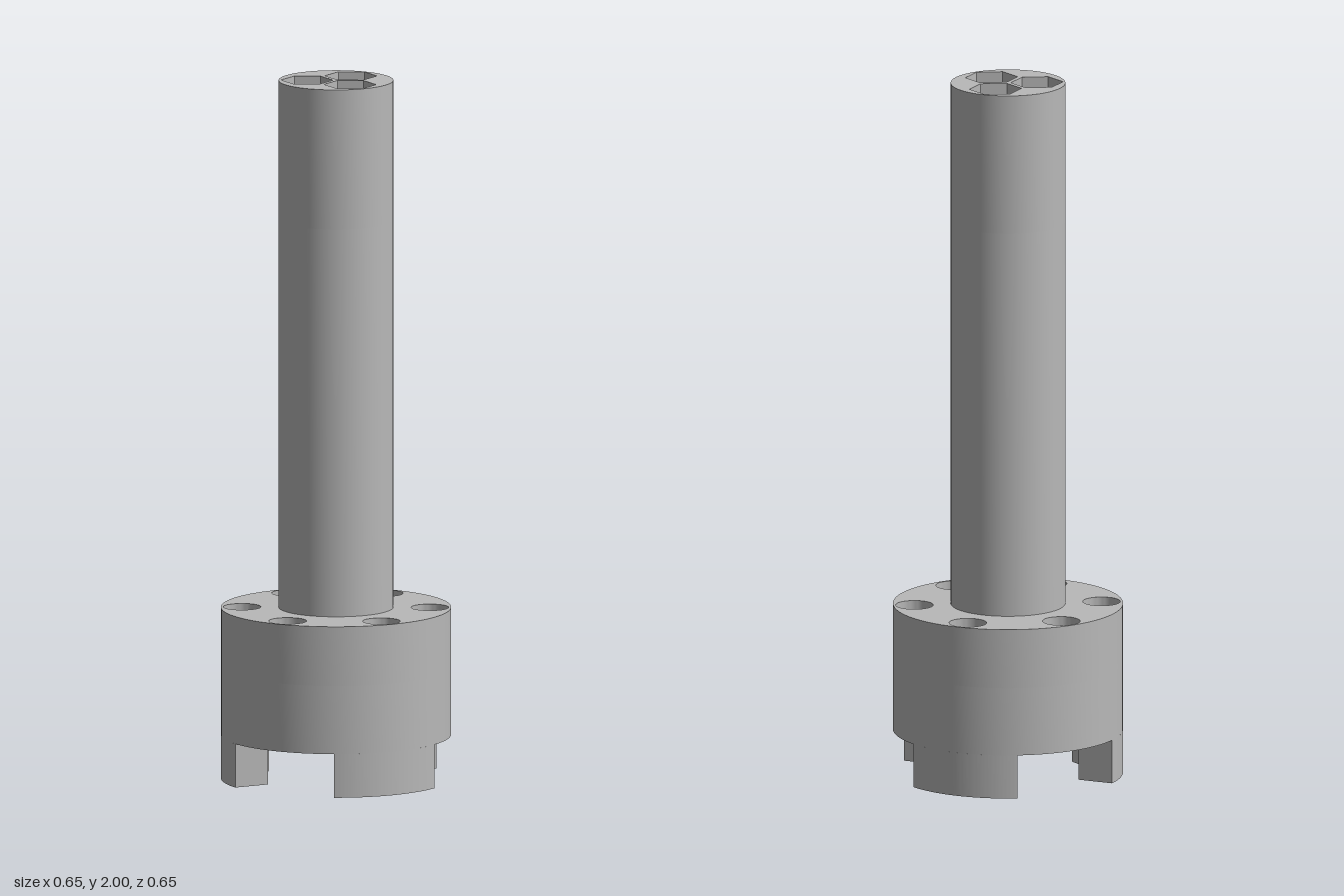
import * as THREE from 'three';
import { toCreasedNormals } from 'three/addons/utils/BufferGeometryUtils.js';

const FLANGE_R = 0.325, COLUMN_R = 0.162, LEG_INNER_R = 0.22;
const BOLT_CIRCLE = 0.265, BORE_CIRCLE = 0.082;

// Closed outline with a given number of sides (many sides reads as a circle)
function polygon(radius, cx = 0, cy = 0, sides = 48, Type = THREE.Path) {
  const path = new Type();
  const points = [];
  for (let i = 0; i < sides; i++) {
    const a = (i / sides) * Math.PI * 2;
    points.push(new THREE.Vector2(cx + radius * Math.cos(a), cy + radius * Math.sin(a)));
  }
  path.setFromPoints(points);
  path.closePath();
  return path;
}

const disc = (radius) => polygon(radius, 0, 0, 96, THREE.Shape);

// A ring of equal holes around the axis
function holeRing(count, ringRadius, radius, startAngle, sides = 48) {
  return Array.from({ length: count }, (_, i) => {
    const a = startAngle + (i / count) * Math.PI * 2;
    return polygon(radius, ringRadius * Math.cos(a), ringRadius * Math.sin(a), sides);
  });
}

// Upright slab between two heights
function slab(shape, holes, y0, y1) {
  shape.holes.push(...holes);
  const geometry = new THREE.ExtrudeGeometry(shape, {
    depth: y1 - y0, bevelEnabled: false, curveSegments: 32,
  });
  geometry.rotateX(-Math.PI / 2);
  geometry.translate(0, y0, 0);
  return toCreasedNormals(geometry, 0.5);
}

export function createModel() {
  const group = new THREE.Group();
  const grey = new THREE.MeshStandardMaterial({ color: 0xb8b8b8 });
  grey.name = 'grey';

  const add = (name, geometry) => {
    const mesh = new THREE.Mesh(geometry, grey);
    mesh.name = name;
    group.add(mesh);
  };
  const bores = (radius, sides) => holeRing(3, BORE_CIRCLE, radius, Math.PI / 3, sides);
  const boltHoles = (radius) => holeRing(6, BOLT_CIRCLE, radius, 0);

  // Column: round bores that open into hexagonal sockets at the top
  add('columnTop', slab(disc(COLUMN_R), bores(0.074, 6), 1.6, 2));
  add('column', slab(disc(COLUMN_R), bores(0.044), 0.49, 1.6));

  // Flange: counterbored bolt holes above, wider bores below
  add('flangeTop', slab(disc(FLANGE_R), [...boltHoles(0.053), ...bores(0.044)], 0.32, 0.49));
  add('flangeBottom', slab(disc(FLANGE_R), [...boltHoles(0.027), ...bores(0.07)], 0.125, 0.32));

  // Three drilled ring-sector legs
  for (let i = 0; i < 3; i++) {
    const middle = Math.PI / 3 + (i * Math.PI * 2) / 3;
    const a0 = middle - Math.PI / 6, a1 = middle + Math.PI / 6;
    const sector = new THREE.Shape();
    sector.absarc(0, 0, FLANGE_R, a0, a1, false);
    sector.absarc(0, 0, LEG_INNER_R, a1, a0, true);
    sector.closePath();
    const hole = polygon(0.027, BOLT_CIRCLE * Math.cos(middle), BOLT_CIRCLE * Math.sin(middle));
    add('leg' + (i + 1), slab(sector, [hole], 0, 0.125));
  }

  return group;
}
